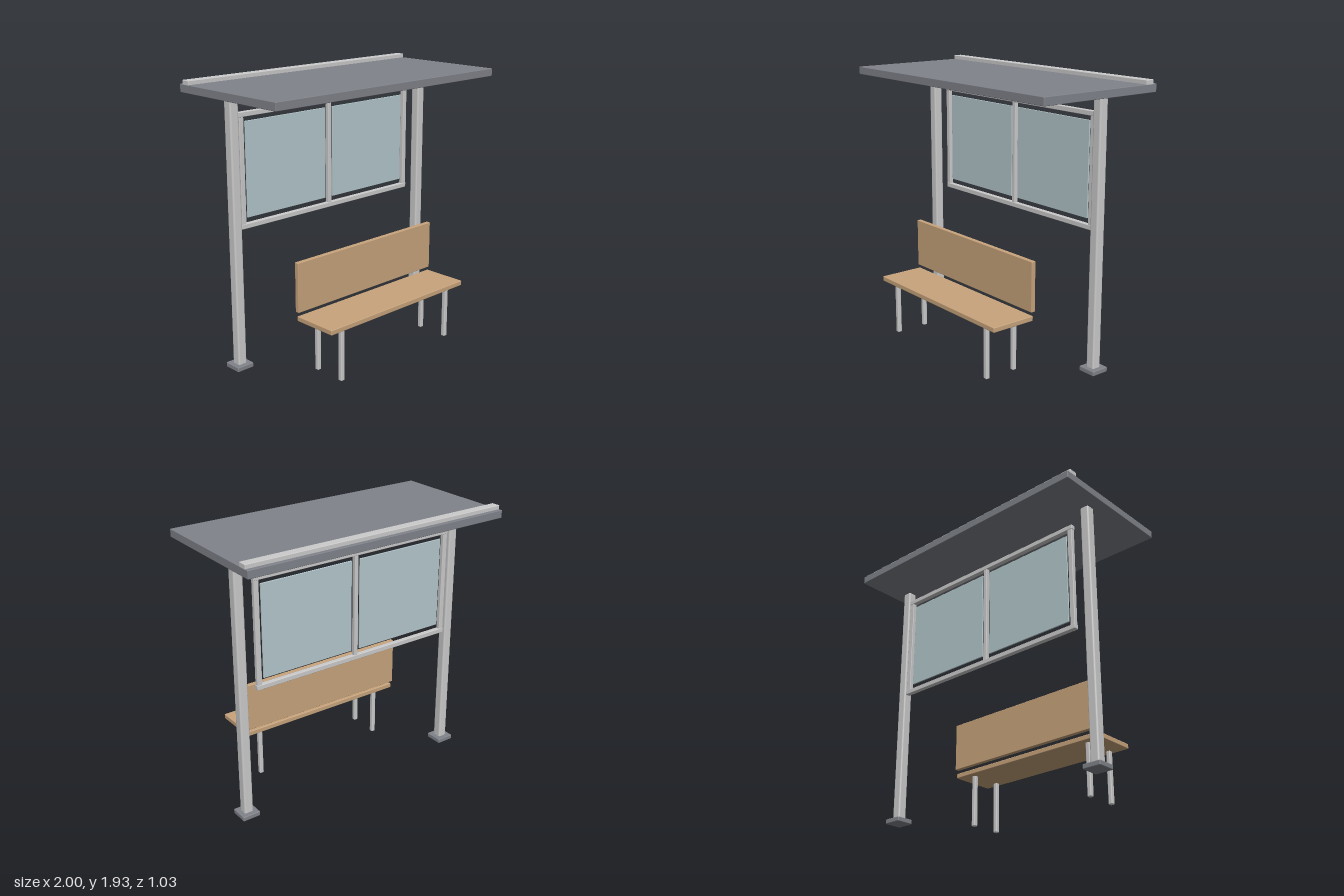
import * as THREE from 'three';
import { RoundedBoxGeometry } from 'three/addons/geometries/RoundedBoxGeometry.js';

const metal = new THREE.MeshStandardMaterial({ color: 0xcccccc });
const darkMetal = new THREE.MeshStandardMaterial({ color: 0x80838a });
const wood = new THREE.MeshStandardMaterial({ color: 0xc8a47c });
const glass = new THREE.MeshStandardMaterial({ color: 0xb4c8cc });

// Softly bevelled block given by its [min, max] range on each axis
function block(parent, name, material, [x0, x1], [y0, y1], [z0, z1], bevel = 0.004) {
  const geometry = new RoundedBoxGeometry(x1 - x0, y1 - y0, z1 - z0, 2, bevel);
  const mesh = new THREE.Mesh(geometry, material);
  mesh.name = name;
  mesh.position.set((x0 + x1) / 2, (y0 + y1) / 2, (z0 + z1) / 2);
  parent.add(mesh);
  return mesh;
}

const around = (centre, size) => [centre - size / 2, centre + size / 2];

function subgroup(parent, name) {
  const group = new THREE.Group();
  group.name = name;
  parent.add(group);
  return group;
}

export function createModel() {
  const shelter = new THREE.Group();
  shelter.name = 'shelter';

  // Flat roof with a raised strip near the back edge
  const roof = subgroup(shelter, 'roof');
  block(roof, 'roofSlab', darkMetal, [-1, 1], [1.845, 1.9], [-0.515, 0.438]);
  block(roof, 'roofStrip', metal, [-1, 1], [1.895, 1.928], [-0.487, -0.422]);

  // Two posts on foot plates
  const posts = subgroup(shelter, 'posts');
  for (const [side, label] of [[1, 'left'], [-1, 'right']]) {
    block(posts, `${label}Post`, metal, around(side * 0.873, 0.067), [0.02, 1.85], around(-0.151, 0.067), 0.012);
    block(posts, `${label}FootPlate`, darkMetal, around(side * 0.873, 0.131), [0, 0.034], around(-0.153, 0.131), 0.006);
  }

  // Framed rear screen with two panes
  const screen = subgroup(shelter, 'rearScreen');
  const frameZ = around(-0.201, 0.034);
  block(screen, 'topRail', metal, [-0.79, 0.79], [1.697, 1.73], frameZ);
  block(screen, 'bottomRail', metal, [-0.79, 0.79], [0.948, 0.982], frameZ);
  block(screen, 'mullion', metal, around(0, 0.03), [0.975, 1.705], around(-0.201, 0.03));
  for (const side of [1, -1]) {
    block(screen, 'stile', metal, around(side * 0.769, 0.036), [0.975, 1.705], around(-0.201, 0.03));
    block(screen, 'pane', glass, around(side * 0.383, 0.7), [1.018, 1.666], around(-0.201, 0.01), 0.002);
  }

  // Bench: seat, backrest and four legs
  const bench = subgroup(shelter, 'bench');
  block(bench, 'seat', wood, [-0.645, 0.645], [0.37, 0.405], [0.185, 0.515], 0.005);
  block(bench, 'backrest', wood, [-0.645, 0.645], [0.43, 0.777], [0.168, 0.2]);
  for (const x of [-0.516, 0.516]) {
    for (const z of [0.243, 0.47]) {
      block(bench, 'leg', metal, around(x, 0.032), [0, 0.375], around(z, 0.032), 0.007);
    }
  }

  return shelter;
}
